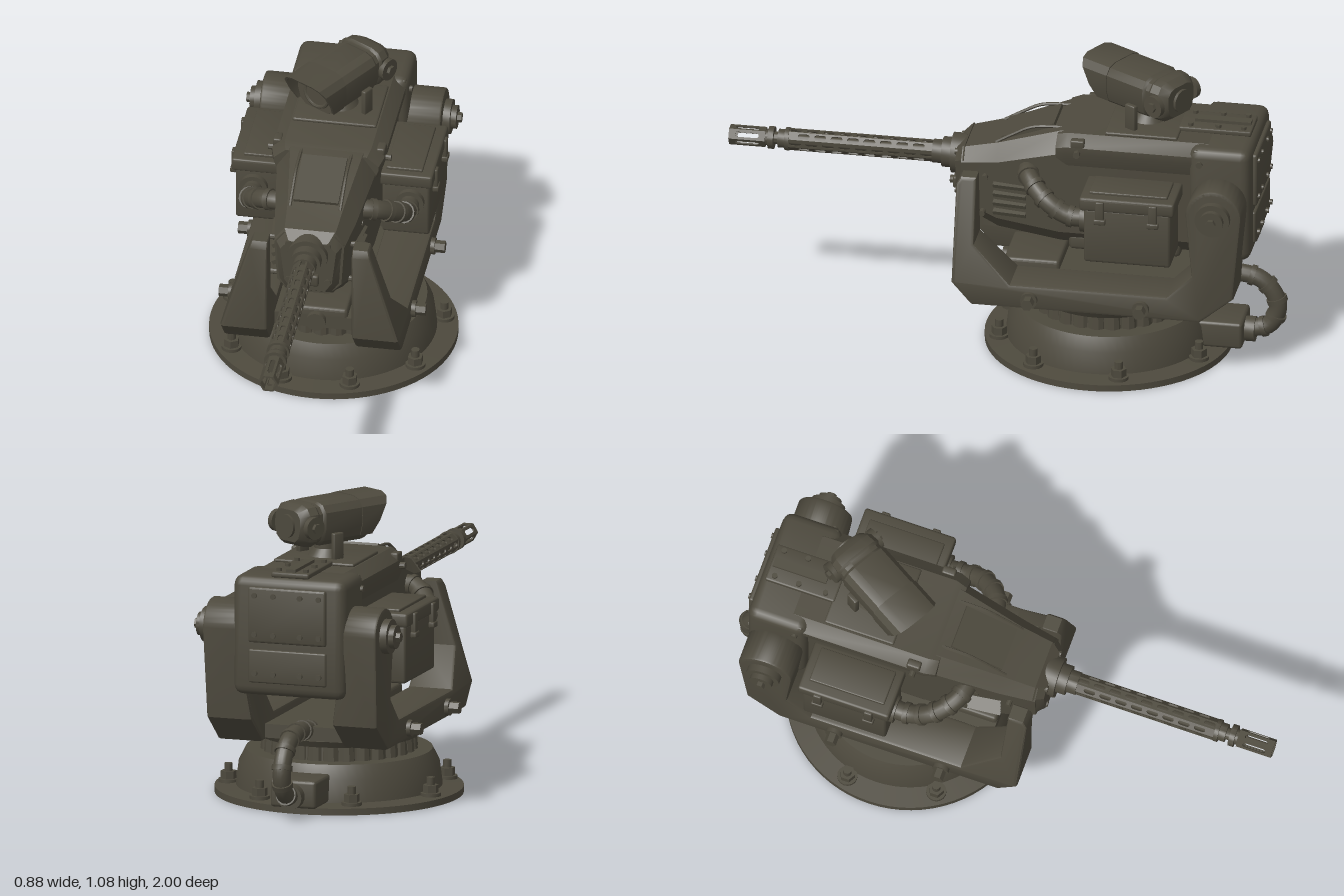
import * as THREE from 'three';
import { toCreasedNormals } from 'three/addons/utils/BufferGeometryUtils.js';
import { RoundedBoxGeometry } from 'three/addons/geometries/RoundedBoxGeometry.js';

const olive = new THREE.MeshStandardMaterial({ color: 0x4d493d });
olive.name = 'dark olive';
const PI = Math.PI;

// ---- geometry helpers ----
const at = (g, x, y, z) => g.translate(x, y, z);
const box = (w, h, d, x, y, z, r = 0) =>
  at(r ? new RoundedBoxGeometry(w, h, d, 2, r) : new THREE.BoxGeometry(w, h, d), x, y, z);
const cylY = (r0, r1, h, x, y, z, n = 24) => at(new THREE.CylinderGeometry(r1, r0, h, n), x, y, z);
const cylX = (r, h, x, y, z, n = 24) => at(new THREE.CylinderGeometry(r, r, h, n).rotateZ(PI / 2), x, y, z);
const cylZ = (r, h, x, y, z, n = 24) => at(new THREE.CylinderGeometry(r, r, h, n).rotateX(PI / 2), x, y, z);
const curve = pts => new THREE.CatmullRomCurve3(pts.map(p => new THREE.Vector3(...p)));

function mesh(parent, name, geo) {
  const m = new THREE.Mesh(toCreasedNormals(geo, 0.55), olive);
  m.name = name;
  parent.add(m);
  return m;
}

// reflected copy with corrected winding
function mirrored(geo) {
  const g = geo.index ? geo.toNonIndexed() : geo.clone();
  const p = g.attributes.position;
  for (let i = 0; i < p.count; i += 3) {
    const v = [0, 2, 1].map(k => [-p.getX(i + k), p.getY(i + k), p.getZ(i + k)]);
    v.forEach((c, k) => p.setXYZ(i + k, ...c));
  }
  g.deleteAttribute('normal');
  g.computeVertexNormals();
  return g;
}
function both(parent, name, geo) {
  mesh(parent, name + 'Left', geo);
  mesh(parent, name + 'Right', mirrored(geo));
}

// skin through stations [z, right half outline from bottom to top], front to back
function loft(stations) {
  const rings = stations.map(([z, half]) =>
    [...half, ...half.map(([x, y]) => [-x, y]).reverse()].map(([x, y]) => [x, y, z]));
  const pos = [], n = rings[0].length;
  const tri = (...c) => c.forEach(p => pos.push(...p));
  for (let s = 0; s < rings.length - 1; s++) {
    const a = rings[s], b = rings[s + 1];
    for (let i = 0; i < n; i++) {
      const j = (i + 1) % n;
      tri(a[i], b[i], b[j]);
      tri(a[i], b[j], a[j]);
    }
  }
  const f = rings[0], r = rings[rings.length - 1];
  for (let i = 1; i < n - 1; i++) { tri(f[0], f[i], f[i + 1]); tri(r[0], r[i + 1], r[i]); }
  const g = new THREE.BufferGeometry();
  g.setAttribute('position', new THREE.Float32BufferAttribute(pos, 3));
  return g;
}

// side outline in (z, y), extruded between x0 and x1
function slab(shape, x0, x1, bevel = 0) {
  return new THREE.ExtrudeGeometry(shape, {
    depth: x1 - x0 - 2 * bevel, bevelEnabled: bevel > 0, bevelSize: bevel, bevelOffset: -bevel,
    bevelThickness: bevel, bevelSegments: 2, curveSegments: 20,
  }).rotateY(-PI / 2).translate(x1 - bevel, 0, 0);
}

// faceted tube along z made of slotted panels
function slottedTube(parent, name, sides, r, z0, z1, slots, slotLen, slotR, y) {
  const w = 2 * r * Math.tan(PI / sides), pitch = (z1 - z0) / slots;
  for (let k = 0; k < sides; k++) {
    const s = new THREE.Shape([[-w / 2, z0], [w / 2, z0], [w / 2, z1], [-w / 2, z1]].map(p => new THREE.Vector2(...p)));
    const odd = slots > 1 && k % 2;
    for (let i = 0; i < slots - (odd ? 1 : 0); i++) {
      const c = z0 + pitch * (i + (odd ? 1 : 0.5)), h = slotLen / 2 - slotR;
      const hole = new THREE.Path();
      hole.absarc(0, c + h, slotR, 0, PI, false);
      hole.absarc(0, c - h, slotR, PI, 2 * PI, false);
      s.holes.push(hole);
    }
    const g = new THREE.ExtrudeGeometry(s, { depth: 0.006, bevelEnabled: false, curveSegments: 5 });
    mesh(parent, name, g.rotateX(PI / 2).translate(0, r, 0).rotateZ(k * 2 * PI / sides).translate(0, y, 0));
  }
}

// hose with raised rings
function hose(parent, name, pts, r, rings, two) {
  const c = curve(pts), put = two ? both : mesh;
  put(parent, name, new THREE.TubeGeometry(c, 32, r, 14));
  for (let i = 0; i < rings; i++) {
    const t = i / (rings - 1), g = new THREE.CylinderGeometry(r * 1.16, r * 1.16, 0.018, 16);
    g.applyQuaternion(new THREE.Quaternion().setFromUnitVectors(new THREE.Vector3(0, 1, 0), c.getTangentAt(t)));
    const p = c.getPointAt(t);
    put(parent, name + 'Ring', at(g, p.x, p.y, p.z));
  }
}

export function createModel() {
  const root = new THREE.Group();
  root.name = 'turret';
  const group = n => { const g = new THREE.Group(); g.name = n; root.add(g); return g; };

  // ---- round base ----
  const base = group('base'), cz = -0.36;
  const prof = [[0, 0], [0.44, 0], [0.44, 0.024], [0.365, 0.03], [0.355, 0.11], [0.33, 0.16], [0.265, 0.16],
    [0.26, 0.212], [0.285, 0.212], [0.3, 0.235], [0.27, 0.25], [0, 0.25]].map(p => new THREE.Vector2(...p));
  mesh(base, 'baseRing', at(new THREE.LatheGeometry(prof, 72), 0, 0, cz));
  for (let i = 0; i < 28; i++) {
    const a = i / 28 * 2 * PI;
    mesh(base, 'bearingStud', cylY(0.034, 0.03, 0.055, 0.245 * Math.sin(a), 0.187, cz + 0.245 * Math.cos(a), 10));
  }
  for (const d of [18, 57, 105, 154, -18, -57, -105, -154]) {
    const a = d * PI / 180, x = 0.392 * Math.sin(a), z = cz + 0.392 * Math.cos(a);
    mesh(base, 'boltWasher', cylY(0.036, 0.036, 0.012, x, 0.034, z, 16));
    mesh(base, 'boltNut', cylY(0.028, 0.028, 0.03, x, 0.053, z, 6));
    mesh(base, 'boltStud', cylY(0.015, 0.015, 0.03, x, 0.08, z, 12));
  }
  mesh(base, 'cableBox', box(0.17, 0.1, 0.18, 0, 0.08, -0.76, 0.012));
  mesh(base, 'cablePort', cylZ(0.045, 0.05, 0, 0.075, -0.86));
  hose(base, 'rearHose', [[0, 0.28, -0.68], [0, 0.295, -0.8], [0, 0.27, -0.91], [0, 0.18, -0.965],
    [0, 0.1, -0.935], [0, 0.075, -0.85]], 0.032, 9, false);

  // ---- yoke ----
  const yoke = group('yoke');
  mesh(yoke, 'yokeDeck', cylY(0.29, 0.24, 0.06, 0, 0.265, cz, 48));
  mesh(yoke, 'yokeFloor', box(0.36, 0.05, 0.72, 0, 0.275, cz));
  mesh(yoke, 'frontLug', box(0.22, 0.085, 0.2, 0, 0.29, -0.1, 0.012));
  mesh(yoke, 'lugPin', cylZ(0.035, 0.03, 0, 0.283, 0.005));
  const s = new THREE.Shape();
  s.moveTo(0.08, 0.24); s.lineTo(0.15, 0.32); s.lineTo(0.15, 0.66); s.lineTo(0.135, 0.685); s.lineTo(0.08, 0.685);
  s.lineTo(0.075, 0.46); s.lineTo(-0.06, 0.33); s.lineTo(-0.62, 0.33); s.lineTo(-0.71, 0.42);
  s.lineTo(-0.69, 0.66); s.absarc(-0.79, 0.66, 0.1, 0, PI, false);
  s.lineTo(-0.86, 0.34); s.lineTo(-0.74, 0.24);
  const arm = slab(s, 0.15, 0.32, 0.012), p = arm.attributes.position;
  for (let i = 0; i < p.count; i++) {
    const y = p.getY(i), z = p.getZ(i), f = (p.getX(i) - 0.15) / 0.17;
    // front arm narrows to its tip, rear arm stands clear of the body
    if (z > -0.05 && y > 0.34) p.setX(i, 0.15 + f * (0.17 - 0.11 * (y - 0.34) / 0.345));
    if (z < -0.6 && y > 0.5) p.setX(i, 0.2 + f * 0.125);
  }
  both(yoke, 'yokeArm', arm);
  for (const z of [-0.13, -0.53]) {
    both(yoke, 'yokeBoltWasher', cylX(0.03, 0.02, 0.325, 0.28, z));
    both(yoke, 'yokeBolt', cylX(0.022, 0.05, 0.345, 0.28, z, 6));
  }
  both(yoke, 'trunnionDisc', cylX(0.062, 0.03, 0.335, 0.66, -0.79, 32));
  both(yoke, 'trunnionCap', cylX(0.042, 0.025, 0.357, 0.66, -0.79, 28));
  both(yoke, 'trunnionNut', cylX(0.018, 0.02, 0.375, 0.66, -0.79, 6));

  // ---- gun body ----
  const body = group('body');
  mesh(body, 'hull', loft([
    [0.15, [[0.07, 0.5], [0.115, 0.545], [0.125, 0.7], [0.09, 0.745]]],
    [0.02, [[0.1, 0.45], [0.14, 0.5], [0.145, 0.72], [0.1, 0.778]]],
    [-0.21, [[0.13, 0.43], [0.17, 0.48], [0.178, 0.79], [0.13, 0.86]]],
    [-0.77, [[0.13, 0.43], [0.17, 0.48], [0.178, 0.79], [0.13, 0.86]]]]));
  const lid = (k, d) => [[0.165 * k, 0.72], [0.2 * k, 0.805], [0.2 * k, 0.83 - d], [0.155 * k, 0.866 - d]];
  mesh(body, 'topCover', loft([[-0.2, lid(0.94, 0.012)], [-0.24, lid(1, 0)], [-0.74, lid(1, 0)], [-0.77, lid(0.96, 0.01)]]));
  mesh(body, 'rearHousing', box(0.42, 0.43, 0.22, 0, 0.65, -0.79, 0.035));
  mesh(body, 'rearPlate', box(0.29, 0.2, 0.02, 0, 0.73, -0.905, 0.008));
  mesh(body, 'rearLowerPlate', box(0.29, 0.12, 0.016, 0, 0.545, -0.902, 0.006));
  for (const x of [0.05, 0.12]) for (const y of [0.66, 0.8, 0.52])
    both(body, 'rearRivet', cylZ(0.01, 0.01, x, y, -0.917, 10));
  mesh(body, 'bellyPan', box(0.3, 0.06, 0.4, 0, 0.435, -0.44, 0.015));
  for (const z of [-0.33, -0.57]) both(body, 'bellyFoot', cylY(0.028, 0.028, 0.02, 0.06, 0.402, z, 16));

  // nose plate and barrel seat
  mesh(body, 'nosePlate', loft([
    [0.175, [[0.06, 0.525], [0.085, 0.56], [0.1, 0.69], [0.07, 0.725]]],
    [0.14, [[0.085, 0.5], [0.115, 0.545], [0.125, 0.71], [0.09, 0.755]]]]));
  for (const y of [0.715, 0.565]) both(body, 'noseBolt', cylZ(0.012, 0.02, 0.07, y, 0.17, 10));
  mesh(body, 'noseBracket', box(0.08, 0.045, 0.04, 0, 0.575, 0.175, 0.008));
  mesh(body, 'noseBracketPin', cylZ(0.014, 0.02, 0, 0.57, 0.2, 12));

  // sloped hatch with side rails
  const tilt = Math.atan2(0.082, 0.23);
  mesh(body, 'noseHatch', at(new THREE.BoxGeometry(0.16, 0.02, 0.2).rotateX(tilt), 0, 0.818, -0.085));
  both(body, 'hatchRail', new THREE.TubeGeometry(curve([[0.09, 0.775, 0.03], [0.09, 0.81, -0.03],
    [0.09, 0.845, -0.1], [0.09, 0.855, -0.21]]), 16, 0.006, 6));

  // cheek panels with louvres
  for (let i = 0; i < 4; i++)
    both(body, 'louvre', at(new THREE.BoxGeometry(0.02, 0.016, 0.12).rotateZ(-0.4).rotateY(-0.1), 0.15, 0.53 + i * 0.035, -0.03));
  for (const [y, z] of [[0.66, 0.06], [0.52, 0.07], [0.67, -0.06]])
    both(body, 'cheekBolt', cylX(0.011, 0.03, 0.142, y, z, 10));

  // roof details
  mesh(body, 'roofRail', box(0.14, 0.02, 0.26, 0, 0.872, -0.75, 0.006));
  mesh(body, 'roofSpine', box(0.035, 0.016, 0.2, 0, 0.885, -0.77));
  for (const z of [-0.66, -0.76, -0.85]) both(body, 'roofBolt', cylY(0.01, 0.01, 0.014, 0.05, 0.886, z, 10));
  for (const z of [-0.28, -0.72]) {
    both(body, 'coverHinge', box(0.03, 0.035, 0.05, 0.185, 0.84, z, 0.006));
    both(body, 'coverHingePin', cylX(0.012, 0.03, 0.205, 0.81, z, 10));
  }

  // ---- ammunition boxes and feed hoses ----
  const ammo = group('ammunition');
  both(ammo, 'ammoBox', box(0.17, 0.21, 0.31, 0.262, 0.565, -0.485, 0.01));
  both(ammo, 'ammoLid', box(0.19, 0.05, 0.34, 0.265, 0.69, -0.485, 0.01));
  both(ammo, 'ammoLidTop', box(0.13, 0.014, 0.28, 0.255, 0.718, -0.485, 0.004));
  for (const z of [-0.39, -0.58]) {
    both(ammo, 'latch', box(0.018, 0.085, 0.03, 0.36, 0.665, z, 0.004));
    both(ammo, 'latchHook', box(0.022, 0.02, 0.042, 0.362, 0.63, z, 0.004));
  }
  both(ammo, 'ammoBracket', box(0.08, 0.04, 0.24, 0.2, 0.475, -0.485));
  both(ammo, 'feedCollar', cylZ(0.05, 0.03, 0.28, 0.6, -0.325));
  hose(ammo, 'feedHose', [[0.13, 0.71, -0.09], [0.2, 0.7, -0.11], [0.265, 0.65, -0.18], [0.28, 0.605, -0.26],
    [0.28, 0.6, -0.33]], 0.034, 7, true);

  // ---- barrel ----
  const gun = group('barrel'), by = 0.675;
  for (const [n, r, z0, z1] of [['seat', 0.072, 0.15, 0.2], ['collar', 0.054, 0.2, 0.235], ['sleeve', 0.042, 0.235, 0.27],
    ['tube', 0.022, 0.2, 0.88], ['jacketEnd', 0.041, 0.785, 0.8], ['jacketNut', 0.033, 0.8, 0.825],
    ['muzzleRing', 0.04, 0.84, 0.86], ['muzzleCone', 0.028, 0.86, 0.89]])
    mesh(gun, n, cylZ(r, z1 - z0, 0, by, (z0 + z1) / 2, 28));
  slottedTube(gun, 'jacketPanel', 8, 0.036, 0.26, 0.79, 9, 0.042, 0.0085, by);
  slottedTube(gun, 'flashHider', 6, 0.031, 0.87, 1.0, 1, 0.085, 0.009, by);

  // ---- sight on swivel ----
  const mount = group('sightMount');
  mesh(mount, 'sightPlate', box(0.3, 0.014, 0.26, 0, 0.87, -0.5, 0.006));
  mesh(mount, 'sightNeck', cylY(0.065, 0.045, 0.03, 0, 0.89, -0.5));
  mesh(mount, 'sightPost', cylY(0.042, 0.042, 0.08, 0, 0.91, -0.5));
  const sight = group('sight');
  sight.position.set(0, 0, -0.47);
  sight.rotation.y = -0.53;
  const sec = (k, m = 1) => [[0.055, -0.076], [0.082, -0.055], [0.095, -0.01], [0.093, 0.045], [0.075, 0.07], [0.045, 0.08]]
    .map(([x, y]) => [x * k, 1.0 + y * k * m]);
  mesh(sight, 'sightBody', loft([[0.12, sec(0.95)], [0.1, sec(1)], [-0.09, sec(1)], [-0.1, sec(0.93)],
    [-0.115, sec(0.93)], [-0.125, sec(1)], [-0.16, sec(0.96)], [-0.19, sec(0.72)]]));
  // hood: open-bottomed shell cut back towards its lower edge
  const outer = sec(1.03).slice(1), inner = sec(0.94).slice(1);
  const mir = a => a.map(([x, y]) => [-x, y]).reverse();
  const hood = new THREE.Shape([...outer, ...mir(outer), ...[...inner, ...mir(inner)].reverse()].map(q => new THREE.Vector2(...q)));
  const hg = new THREE.ExtrudeGeometry(hood, { depth: 0.13, bevelEnabled: false }).translate(0, 0, 0.075);
  const hp = hg.attributes.position;
  for (let i = 0; i < hp.count; i++) if (hp.getZ(i) > 0.15) hp.setZ(i, 0.205 - (1.082 - hp.getY(i)) * 0.55);
  mesh(sight, 'sightHood', hg);
  mesh(sight, 'lensRing', at(new THREE.TorusGeometry(0.052, 0.008, 8, 32), 0, 0.995, 0.122));
  mesh(sight, 'lens', cylZ(0.048, 0.01, 0, 0.995, 0.12, 32));
  both(sight, 'sightSideCap', cylX(0.04, 0.02, 0.098, 1.0, -0.15, 20));
  both(sight, 'sightSideNut', cylX(0.018, 0.016, 0.112, 1.0, -0.15, 6));
  both(sight, 'sightFork', box(0.02, 0.1, 0.045, 0.095, 0.92, -0.04, 0.005));
  mesh(sight, 'sightRearCap', cylZ(0.042, 0.02, 0, 1.0, -0.19));
  return root;
}
